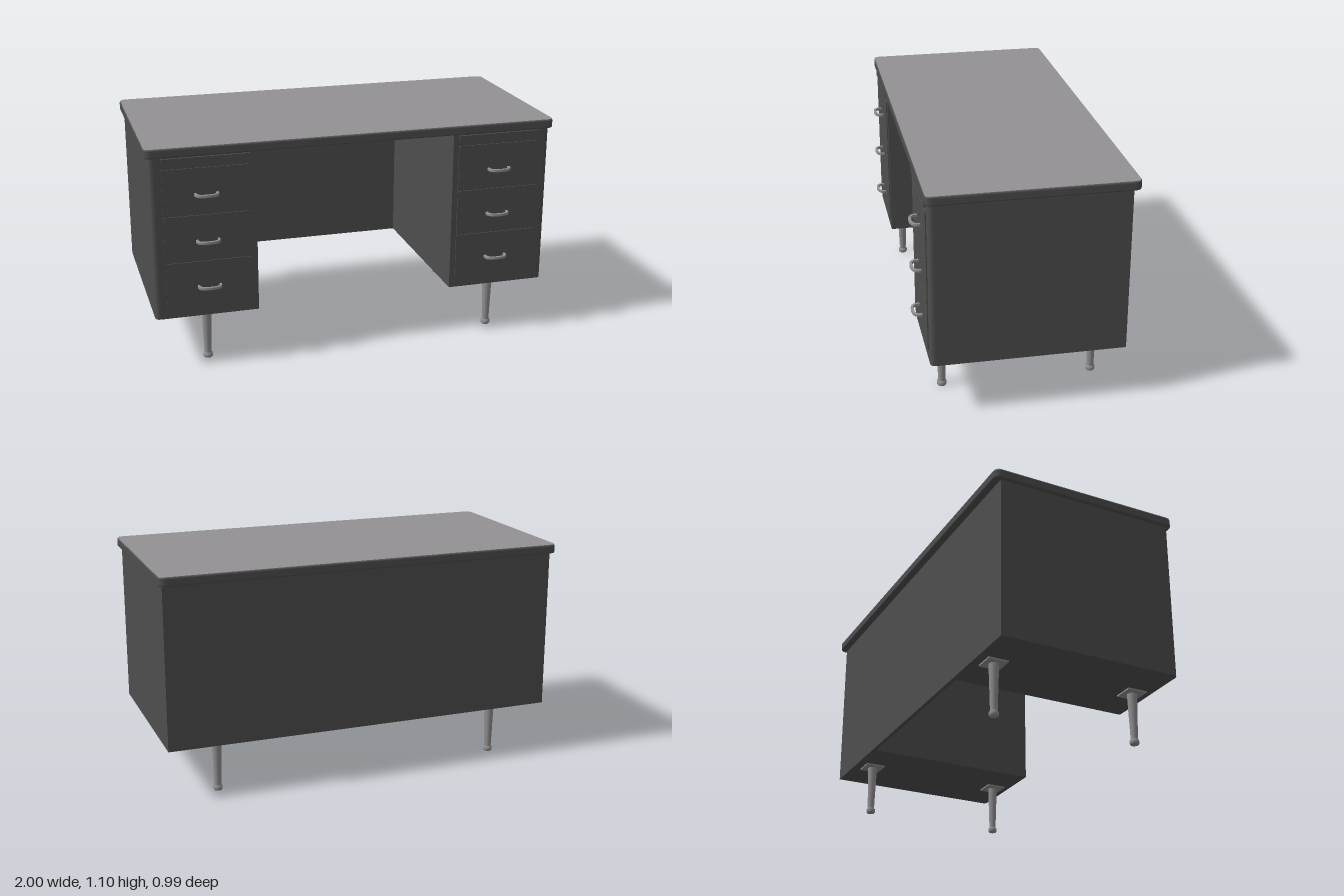
import * as THREE from 'three';

const mat = (name, color) => {
  const m = new THREE.MeshStandardMaterial({ color });
  m.name = name;
  return m;
};

// Horizontal slab with its own radius on each corner: [back left, back right, front right, front left] in x order
function slab(x0, x1, z0, z1, y0, y1, [a, b, c, d], bevel = 0) {
  const s = new THREE.Shape();
  const l = x0 + bevel, r = x1 - bevel, t = -z0 - bevel, f = -z1 + bevel;
  s.moveTo(l + d, f);
  s.lineTo(r - c, f);
  if (c) s.quadraticCurveTo(r, f, r, f + c);
  s.lineTo(r, t - b);
  if (b) s.quadraticCurveTo(r, t, r - b, t);
  s.lineTo(l + a, t);
  if (a) s.quadraticCurveTo(l, t, l, t - a);
  s.lineTo(l, f + d);
  if (d) s.quadraticCurveTo(l, f, l + d, f);
  const g = new THREE.ExtrudeGeometry(s, {
    depth: y1 - y0 - 2 * bevel, curveSegments: 8, bevelEnabled: bevel > 0,
    bevelSize: bevel, bevelThickness: bevel, bevelSegments: 3,
  });
  g.rotateX(-Math.PI / 2);
  g.translate(0, y0 + bevel, 0);
  return g;
}

export function createModel() {
  const desk = new THREE.Group();
  desk.name = 'desk';
  const paint = mat('dark grey paint', 0x4e4e4e);
  const laminate = mat('grey laminate', 0x949195);
  const metal = mat('brushed metal', 0x908e90);

  const add = (name, geo, material, x = 0, y = 0, z = 0, parent = desk) => {
    const m = new THREE.Mesh(geo, material);
    m.name = name;
    m.position.set(x, y, z);
    parent.add(m);
    return m;
  };
  const box = (w, h, d) => new THREE.BoxGeometry(w, h, d);

  // Desk top: dark rim with a light writing surface
  add('topRim', slab(-1, 1, -0.495, 0.46, 1.05, 1.093, [0.03, 0.03, 0.03, 0.03], 0.007), paint);
  add('writingSurface', slab(-0.996, 0.996, -0.491, 0.456, 1.088, 1.095, [0.03, 0.03, 0.03, 0.03]), laminate);

  // Back panel closing the knee space
  add('modestyPanel', box(0.98, 0.79, 0.02), paint, 0, 0.655, -0.45);

  // Handle: bowed flat bar with its two ends turned into the drawer
  const bow = new THREE.Shape();
  bow.moveTo(-0.055, 0);
  bow.bezierCurveTo(-0.058, 0.03, -0.045, 0.046, 0, 0.046);
  bow.bezierCurveTo(0.045, 0.046, 0.058, 0.03, 0.055, 0);
  bow.lineTo(0.047, 0);
  bow.bezierCurveTo(0.049, 0.025, 0.04, 0.037, 0, 0.037);
  bow.bezierCurveTo(-0.04, 0.037, -0.049, 0.025, -0.047, 0);
  const handleGeo = new THREE.ExtrudeGeometry(bow, {
    depth: 0.01, curveSegments: 12, bevelEnabled: true,
    bevelSize: 0.002, bevelThickness: 0.002, bevelSegments: 2,
  });
  handleGeo.translate(0, 0, -0.005);
  handleGeo.rotateX(Math.PI / 2);

  // Tapered leg with a rounded foot
  const legGeo = new THREE.LatheGeometry([
    [0, 0], [0.019, 0], [0.022, 0.004], [0.023, 0.012], [0.022, 0.021],
    [0.018, 0.025], [0.017, 0.027], [0.024, 0.256],
  ].map(([r, y]) => new THREE.Vector2(r, y)), 24);

  const drawerGeo = box(0.411, 0.223, 0.014);

  for (const side of [-1, 1]) {
    const pedestal = new THREE.Group();
    pedestal.name = side > 0 ? 'leftPedestal' : 'rightPedestal';
    desk.add(pedestal);

    // Cabinet, rounded at the outer front corner
    const inner = 0.485 * side, outer = 0.98 * side;
    add('cabinet', slab(Math.min(inner, outer), Math.max(inner, outer), -0.46, 0.445, 0.26, 1.051,
      side > 0 ? [0, 0, 0.025, 0] : [0, 0, 0, 0.025]), paint, 0, 0, 0, pedestal);

    // Pull-out writing board
    add('pulloutBoard', box(0.411, 0.029, 0.03), paint, 0.718 * side, 1.03, 0.44, pedestal);

    // Three drawers with handles
    for (let i = 0; i < 3; i++) {
      add('drawerFront', drawerGeo, paint, 0.718 * side, 0.424 + i * 0.228, 0.443, pedestal);
      add('drawerHandle', handleGeo, metal, 0.72 * side, 0.41 + i * 0.2275, 0.448, pedestal);
    }

    // Legs with mounting plates
    for (const z of [0.36, -0.366]) {
      add('legPlate', box(0.1, 0.008, 0.1), metal, 0.725 * side, 0.257, z, pedestal);
      add('leg', legGeo, metal, 0.725 * side, 0, z, pedestal);
    }
  }
  return desk;
}
